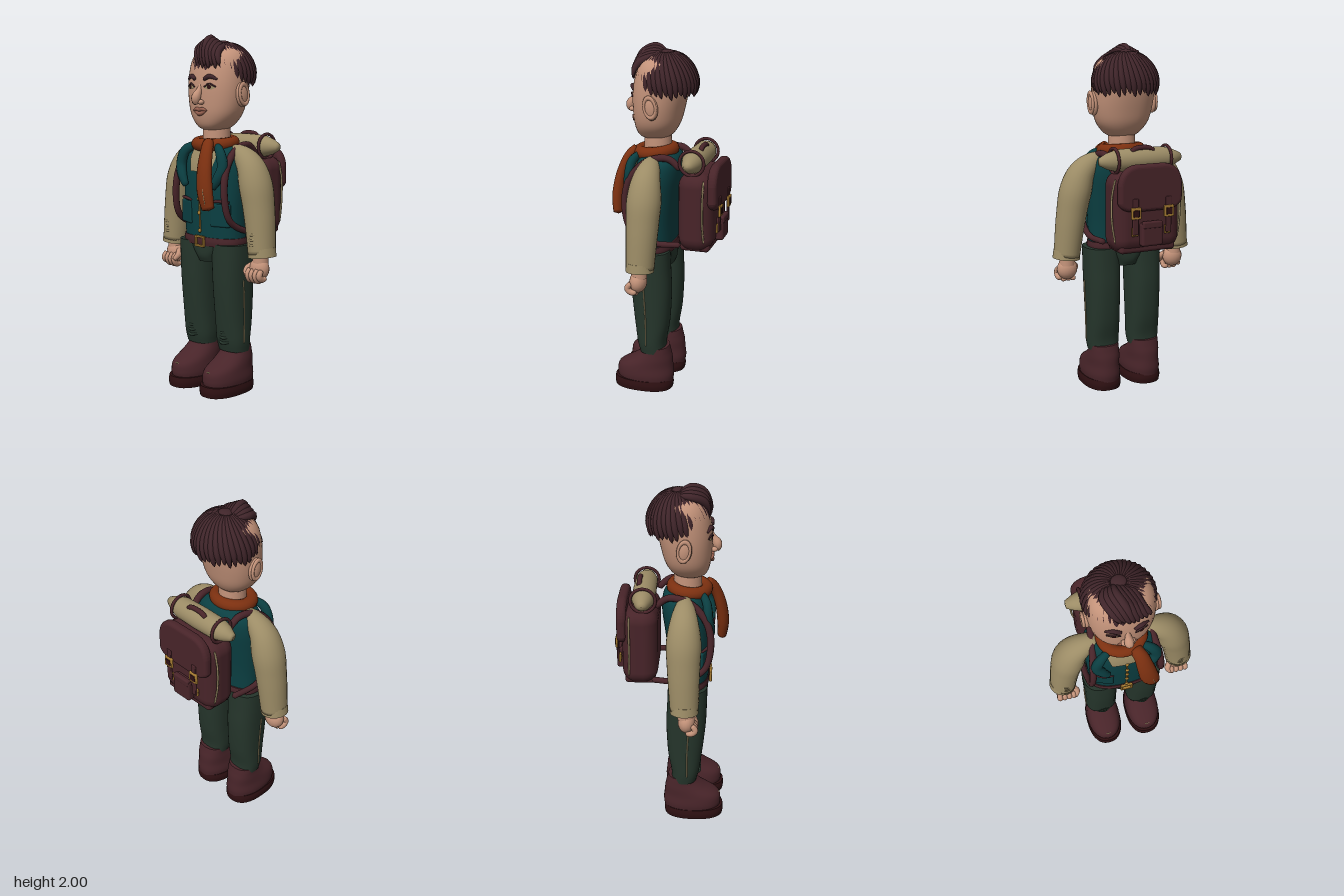
import * as THREE from 'three';
import { mergeVertices } from 'three/addons/utils/BufferGeometryUtils.js';
import { RoundedBoxGeometry } from 'three/addons/geometries/RoundedBoxGeometry.js';

const mat = (name, color) => Object.assign(new THREE.MeshStandardMaterial({ color, side: THREE.DoubleSide }), { name });
const V = (p) => new THREE.Vector3(...p);

// Catmull-Rom value at t (0..1) of a list of numbers
function smooth(a, t) {
  const f = t * (a.length - 1), i = Math.min(Math.floor(f), a.length - 2), u = f - i;
  const b = a[i], c = a[i + 1], p = a[i - 1] ?? 2 * b - c, q = a[i + 2] ?? 2 * c - b;
  return b + 0.5 * u * (c - p + u * (2 * p - 5 * b + 4 * c - q + u * (3 * (b - c) + q - p)));
}
// Rows are [y, centreX, centreZ, radiusX, radiusZ], from the bottom up
const dense = (rows) => Array.from({ length: 33 }, (_, i) => rows[0].map((_, k) => smooth(rows.map((r) => r[k]), i / 32)));

// Closed body through superellipse sections
function loft(rows, n = 2.2, seg = 36) {
  const pos = [], idx = [], rings = dense(rows);
  const ring = ([y, cx, cz, rx, rz]) => {
    for (let j = 0; j < seg; j++) {
      const a = (j / seg) * Math.PI * 2, c = Math.cos(a), s = Math.sin(a);
      pos.push(cx + rx * Math.sign(c) * Math.abs(c) ** (2 / n), y, cz + rz * Math.sign(s) * Math.abs(s) ** (2 / n));
    }
  };
  rings.forEach(ring);
  for (let i = 0; i < rings.length - 1; i++) for (let j = 0; j < seg; j++) {
    const a = i * seg + j, b = i * seg + ((j + 1) % seg);
    idx.push(a, a + seg, b, b, a + seg, b + seg);
  }
  for (const [r, top] of [[rings[0], false], [rings.at(-1), true]]) {
    const base = pos.length / 3;
    ring(r);
    pos.push(r[1], r[0], r[2]);
    for (let j = 0; j < seg; j++) {
      const a = base + j, b = base + ((j + 1) % seg);
      idx.push(base + seg, top ? b : a, top ? a : b);
    }
  }
  const g = new THREE.BufferGeometry();
  g.setAttribute('position', new THREE.Float32BufferAttribute(pos, 3));
  g.setIndex(idx);
  g.computeVertexNormals();
  return g;
}

// Tube along points with varying radius, squashed by sc, with closed ends
function sweep(pts, radii, sc = [1, 1, 1], n = 24, seg = 10) {
  const curve = new THREE.CatmullRomCurve3(pts.map(V)), g = new THREE.TubeGeometry(curve, n, 1, seg);
  const p = g.attributes.position, v = new THREE.Vector3(), k = V(sc);
  for (let i = 0; i <= n; i++) {
    const end = i === 0 || i === n, c = curve.getPointAt(i / n);
    const to = i === 0 ? curve.getPointAt(0.3 / n) : i === n ? curve.getPointAt(1 - 0.3 / n) : c;
    for (let j = 0; j <= seg; j++) {
      const q = i * (seg + 1) + j;
      v.fromBufferAttribute(p, q).sub(c).multiply(k).multiplyScalar(end ? 0 : smooth(radii, i / n)).add(to);
      p.setXYZ(q, v.x, v.y, v.z);
    }
  }
  g.deleteAttribute('uv');
  g.deleteAttribute('normal');
  const m = mergeVertices(g, 1e-5);
  m.computeVertexNormals();
  return m;
}

// Front surface depth of a lofted body
function frontZ(rows, x, y, n = 2.2) {
  const d = dense(rows);
  let i = d.findIndex((r) => r[0] >= y);
  i = Math.max(1, i < 0 ? d.length - 1 : i);
  const t = (y - d[i - 1][0]) / (d[i][0] - d[i - 1][0]);
  const [, , cz, rx, rz] = d[i].map((b, k) => d[i - 1][k] + (b - d[i - 1][k]) * t);
  return cz + rz * Math.max(0, 1 - Math.abs(x / rx) ** n) ** (1 / n);
}
// Lay a flat shape onto the front of a body
function drape(g, rows, lift = 0.004) {
  const p = g.attributes.position;
  for (let i = 0; i < p.count; i++) p.setZ(i, frontZ(rows, p.getX(i), p.getY(i)) + lift);
  g.computeVertexNormals();
  return g;
}

export function createModel() {
  const skin = mat('skin', 0xc4937a), hair = mat('hair', 0x40252a), leather = mat('leather', 0x482429), sole = mat('sole', 0x2e1012);
  const teal = mat('vest teal', 0x0b3f42), green = mat('trouser green', 0x25352b), tan = mat('tan cloth', 0x9c8c66);
  const rust = mat('scarf rust', 0x7c3010), gold = mat('brass', 0xa87c32), lip = mat('lips', 0x96604f);
  const model = new THREE.Group();
  const add = (name, g, m, at = [0, 0, 0], rot = [0, 0, 0], sc = [1, 1, 1]) => {
    const o = new THREE.Mesh(g, m);
    o.name = name;
    o.position.set(...at); o.rotation.set(...rot); o.scale.set(...sc);
    model.add(o);
    return o;
  };
  const box = (w, h, d, r = 0.01) => new RoundedBoxGeometry(w, h, d, 3, r);
  const ball = new THREE.SphereGeometry(1, 20, 14);

  // Head and neck
  const headRows = [[1.475, 0, 0.095, 0.05, 0.05], [1.5, 0, 0.09, 0.098, 0.095], [1.56, 0, 0.08, 0.148, 0.125], [1.64, 0, 0.072, 0.172, 0.14],
    [1.74, 0, 0.062, 0.181, 0.15], [1.84, 0, 0.05, 0.175, 0.145], [1.9, 0, 0.045, 0.15, 0.12], [1.94, 0, 0.04, 0.1, 0.08]];
  add('head', loft(headRows), skin);
  add('neck', new THREE.CylinderGeometry(0.076, 0.08, 0.16, 28), skin, [0, 1.44, 0.08]);

  // Face
  const onFace = (pts, lift) => pts.map(([x, y]) => [x, y, frontZ(headRows, x, y) + lift]);
  add('nose', sweep([[0, 1.74, 0.195], [0, 1.7, 0.215], [0, 1.655, 0.24], [0, 1.625, 0.228]], [0.012, 0.016, 0.026, 0.02]), skin);
  add('upperLip', sweep(onFace([[-0.055, 1.588], [-0.02, 1.597], [0, 1.593], [0.02, 1.597], [0.055, 1.588]], 0.004), [0.003, 0.01, 0.01, 0.01, 0.003]), lip);
  add('lowerLip', sweep(onFace([[-0.045, 1.585], [0, 1.572], [0.045, 1.585]], 0.004), [0.004, 0.013, 0.004]), lip);
  for (const s of [-1, 1]) {
    add('nostril', ball, skin, [s * 0.022, 1.635, 0.222], [0, 0, 0], [0.017, 0.014, 0.02]);
    add('eye', drape(new THREE.CircleGeometry(1, 24).scale(0.034, 0.014, 1).translate(s * 0.073, 1.718, 0), headRows), tan);
    add('iris', drape(new THREE.CircleGeometry(0.012, 20).translate(s * 0.073, 1.718, 0), headRows, 0.007), sole);
    add('eyelid', sweep(onFace([[s * 0.036, 1.716], [s * 0.07, 1.735], [s * 0.11, 1.718]], 0.004), [0.004, 0.005, 0.004]), hair);
    add('eyebrow', sweep(onFace([[s * 0.032, 1.757], [s * 0.07, 1.775], [s * 0.115, 1.758]], 0.004), [0.009, 0.013, 0.005]), hair);
    add('ear', ball, skin, [s * 0.182, 1.675, 0.065], [0.15, 0, 0], [0.024, 0.068, 0.042]);
    add('earRim', new THREE.TorusGeometry(0.036, 0.009, 8, 24), skin, [s * 0.198, 1.68, 0.065], [0.15, Math.PI / 2, 0], [0.9, 1.5, 1]);
  }

  // Hair: cap, radiating locks and a swept quiff
  add('hairCap', new THREE.SphereGeometry(1, 36, 16, 0, Math.PI * 2, 0, 1.3), hair, [0, 1.76, 0.03], [-0.12, 0, 0], [0.182, 0.2, 0.168]);
  const locks = 38;
  for (let i = 0; i < locks; i++) {
    const a = (i / locks) * Math.PI * 2, front = Math.max(0, Math.sin(a));
    const reach = 1.72 - 0.34 * front + (i % 3) * 0.05;
    const pts = [0.1, 0.35, 0.6, 0.82, 1].map((t) => {
      const f = t * reach, b = a + 0.4 * (1 - t);
      return [0.18 * Math.sin(f) * Math.cos(b), 1.76 + 0.203 * Math.cos(f), 0.03 + 0.167 * Math.sin(f) * Math.sin(b)];
    });
    add('hairLock', sweep(pts, [0.008, 0.014, 0.019, 0.019, 0.005], [1, 1, 1], 14, 7), hair);
  }
  add('crown', ball, hair, [0, 1.955, 0.025], [0, 0, 0], [0.04, 0.016, 0.035]);
  for (let i = 0; i < 8; i++) {
    const x = -0.115 + i * 0.022, h = 0.012 * Math.abs(i - 3);
    add('quiffLock', sweep([[x * 0.6, 1.94, 0.03], [x + 0.02, 1.982 - h, 0.09], [x + 0.05, 1.95 - h, 0.16], [x + 0.075, 1.865, 0.2 - h * 0.4], [x + 0.085, 1.81 + (i % 2) * 0.015, 0.205 - h * 0.5]],
      [0.012, 0.02, 0.023, 0.018, 0.004], [1, 1, 1], 16, 8), hair);
  }

  // Vest, shirt front and fastenings
  const vestRows = [[0.86, 0, 0.09, 0.2, 0.112], [1.0, 0, 0.09, 0.202, 0.118], [1.15, 0, 0.083, 0.21, 0.128], [1.28, 0, 0.07, 0.212, 0.132],
    [1.36, 0, 0.06, 0.19, 0.118], [1.4, 0, 0.065, 0.13, 0.095], [1.42, 0, 0.07, 0.08, 0.07]];
  add('vest', loft(vestRows, 2.4), teal);
  const shirt = new THREE.PlaneGeometry(1, 0.15, 12, 10).translate(0, 1.325, 0), sp = shirt.attributes.position;
  for (let i = 0; i < sp.count; i++) sp.setX(i, sp.getX(i) * (0.2 - Math.abs(sp.getY(i) - 1.33) * 0.5));
  add('shirtFront', drape(shirt, vestRows, 0.009), tan);
  const vz = (x, y) => frontZ(vestRows, x, y);
  add('zip', sweep([0.9, 1.02, 1.15, 1.27].map((y) => [0, y, vz(0, y) + 0.006]), [0.005, 0.005, 0.005]), gold);
  for (const y of [0.92, 1.02, 1.1, 1.17, 1.25]) add('zipStud', ball, gold, [0, y, vz(0, y) + 0.01], [0, 0, 0], [0.011, 0.011, 0.008]);
  for (const s of [-1, 1]) {
    add('lapel', sweep([[s * 0.08, 1.4, 0.16], [s * 0.14, 1.36, 0.19], [s * 0.165, 1.28, 0.2], [s * 0.135, 1.21, 0.215], [s * 0.1, 1.16, 0.22]],
      [0.02, 0.03, 0.033, 0.03, 0.018], [1, 1, 0.8]), teal);
    add('vestPocket', box(0.12, 0.13, 0.03), teal, [s * 0.13, 1.015, 0.178], [0, s * 0.32, 0]);
    add('pocketTrim', sweep([[s * 0.07, 1.085, 0.205], [s * 0.13, 1.095, 0.2], [s * 0.19, 1.09, 0.165]], [0.006, 0.009, 0.006]), leather);
  }

  // Belt and buckle
  add('belt', loft([[0.835, 0, 0.088, 0.205, 0.118], [0.86, 0, 0.088, 0.208, 0.121], [0.885, 0, 0.088, 0.205, 0.118]], 2.5), leather);
  for (const s of [-1, 1]) {
    add('buckleSide', box(0.012, 0.06, 0.016, 0.004), gold, [s * 0.03, 0.86, 0.216]);
    add('buckleBar', box(0.072, 0.012, 0.016, 0.004), gold, [0, 0.86 + s * 0.026, 0.216]);
  }

  // Scarf
  add('scarfLoop', new THREE.TorusGeometry(0.1, 0.036, 14, 36), rust, [0, 1.405, 0.09], [Math.PI / 2 + 0.08, 0, 0], [1.05, 0.95, 1]);
  add('scarfTail', sweep([[0.04, 1.42, 0.18], [0.07, 1.375, 0.225], [0.09, 1.28, 0.262], [0.11, 1.16, 0.28], [0.135, 1.045, 0.275]],
    [0.035, 0.043, 0.05, 0.052, 0.04], [1, 1, 0.65], 28, 16), rust);
  add('scarfFringe', sweep([[0.1, 1.26, 0.297], [0.125, 1.16, 0.31], [0.14, 1.08, 0.305]], [0.002, 0.003, 0.002]), tan);

  // Trousers
  add('hips', loft([[0.74, 0, 0.085, 0.08, 0.1], [0.78, 0, 0.086, 0.1, 0.114], [0.85, 0, 0.087, 0.19, 0.114]], 2.5), green);
  for (const s of [-1, 1]) {
    const x = s * 0.13;
    add('trouserLeg', loft([[0.235, x, 0.07, 0.09, 0.075], [0.3, x, 0.078, 0.097, 0.082], [0.42, x, 0.076, 0.097, 0.1], [0.6, x, 0.08, 0.1, 0.114],
      [0.74, x, 0.085, 0.103, 0.114], [0.85, x, 0.087, 0.104, 0.112]], 2.4), green);
    add('sideSeam', sweep([[s * 0.227, 0.28, 0.09], [s * 0.23, 0.45, 0.09], [s * 0.233, 0.66, 0.1]], [0.004, 0.004, 0.004]), tan);
    for (let i = 0; i < 3; i++)
      add('trouserFold', sweep([[x - 0.08, 0.3 + i * 0.03, 0.125], [x, 0.285 + i * 0.03, 0.163], [x + 0.08, 0.31 + i * 0.03, 0.125]], [0.003, 0.008, 0.003]), green);

    // Boots
    add('boot', loft([[0.05, x, 0.12, 0.102, 0.165], [0.09, x, 0.12, 0.106, 0.17], [0.14, x, 0.115, 0.1, 0.16], [0.19, x, 0.075, 0.094, 0.115],
      [0.23, x, 0.055, 0.088, 0.085], [0.265, x, 0.058, 0.086, 0.08]], 2.2), leather);
    add('bootSole', loft([[0, x, 0.13, 0.106, 0.172], [0.03, x, 0.13, 0.11, 0.176], [0.06, x, 0.13, 0.106, 0.172]], 2.4), sole);
    add('bootStitch', sweep([[x - 0.055, 0.12, 0.252], [x, 0.137, 0.275], [x + 0.055, 0.12, 0.252]], [0.003, 0.004, 0.003]), tan);

    // Sleeves
    add('sleeve', sweep([[s * 0.11, 1.375, 0.07], [s * 0.19, 1.345, 0.07], [s * 0.255, 1.285, 0.07], [s * 0.295, 1.18, 0.07], [s * 0.325, 1.02, 0.072], [s * 0.35, 0.8, 0.078]],
      [0.03, 0.068, 0.09, 0.086, 0.08, 0.074], [1, 1, 1.06], 36, 24), tan);
    add('cuff', new THREE.CylinderGeometry(0.076, 0.079, 0.05, 28), tan, [s * 0.349, 0.825, 0.078], [0, 0, s * 0.1]);
    for (let i = 0; i < 3; i++)
      add('sleeveFold', sweep([[s * 0.305, 0.88 + i * 0.028, 0.14], [s * 0.34, 0.872 + i * 0.028, 0.155], [s * 0.385, 0.885 + i * 0.028, 0.135]], [0.003, 0.007, 0.003]), tan);

    // Fists
    add('wrist', new THREE.CylinderGeometry(0.042, 0.045, 0.06, 20), skin, [s * 0.345, 0.79, 0.085]);
    add('palm', ball, skin, [s * 0.342, 0.735, 0.09], [0, 0, 0], [0.06, 0.062, 0.048]);
    for (let i = 0; i < 4; i++) {
      const fx = s * (0.302 + i * 0.028), dy = i === 3 ? 0.012 : 0;
      add('finger', sweep([[fx, 0.74, 0.12], [fx, 0.705, 0.14], [fx, 0.672 + dy, 0.12], [fx, 0.675 + dy, 0.085]], [0.013, 0.017, 0.017, 0.013], [1, 1, 1], 14), skin);
    }
    add('thumb', sweep([[s * 0.3, 0.76, 0.1], [s * 0.28, 0.73, 0.125], [s * 0.295, 0.7, 0.148]], [0.014, 0.018, 0.012]), skin);

    // Pack harness and side cords
    add('shoulderStrap', sweep([[s * 0.14, 1.33, -0.1], [s * 0.15, 1.395, -0.02], [s * 0.165, 1.37, 0.1], [s * 0.185, 1.27, 0.19], [s * 0.195, 1.13, 0.215],
      [s * 0.205, 0.99, 0.18], [s * 0.217, 0.925, 0.06], [s * 0.2, 0.92, -0.12]], [0.018, 0.02, 0.02, 0.02, 0.018, 0.017, 0.017], [1, 1, 1], 48), leather);
    add('sideCord', sweep([[s * 0.185, 1.3, -0.235], [s * 0.208, 1.2, -0.235], [s * 0.208, 1.05, -0.235], [s * 0.19, 0.93, -0.24]], [0.005, 0.006, 0.005]), tan);
    add('rollStrap', new THREE.TorusGeometry(0.069, 0.009, 8, 32), leather, [s * 0.16, 1.38, -0.16], [0, Math.PI / 2, 0]);

    // Flap fastenings
    add('flapStrap', box(0.035, 0.2, 0.012, 0.005), leather, [s * 0.1, 1.09, -0.307]);
    add('flapBuckle', box(0.06, 0.065, 0.014, 0.005), gold, [s * 0.1, 1.11, -0.312]);
    add('buckleInset', box(0.036, 0.038, 0.008, 0.003), sole, [s * 0.1, 1.11, -0.318]);
    add('strapTip', box(0.04, 0.05, 0.012, 0.005), gold, [s * 0.1, 1.005, -0.296]);
  }

  // Backpack and bedroll
  add('backpack', box(0.41, 0.45, 0.2, 0.08), leather, [0, 1.1, -0.18]);
  const flap = new THREE.Shape();
  flap.moveTo(-0.17, 1.17).quadraticCurveTo(-0.16, 1.14, -0.1, 1.135).lineTo(0.1, 1.135).quadraticCurveTo(0.16, 1.14, 0.17, 1.17);
  flap.lineTo(0.17, 1.26).quadraticCurveTo(0.16, 1.345, 0.08, 1.35).lineTo(-0.08, 1.35).quadraticCurveTo(-0.16, 1.345, -0.17, 1.26);
  add('packFlap', new THREE.ExtrudeGeometry(flap, { depth: 0.01, bevelSize: 0.022, bevelThickness: 0.022, bevelSegments: 5, curveSegments: 10 }), leather, [0, 0, -0.285]);
  add('packPocket', box(0.13, 0.13, 0.05, 0.015), leather, [0, 0.985, -0.295]);
  add('pocketFlap', box(0.12, 0.04, 0.03, 0.01), leather, [0, 1.04, -0.308]);
  add('packBase', box(0.34, 0.05, 0.17, 0.02), leather, [0, 0.9, -0.18]);
  const roll = [[0, -0.25], [0.022, -0.247], [0.045, -0.2], [0.062, -0.14], [0.065, 0], [0.062, 0.14], [0.045, 0.2], [0.022, 0.247], [0, 0.25]];
  add('bedroll', new THREE.LatheGeometry(roll.map((p) => new THREE.Vector2(...p)), 32), tan, [0, 1.38, -0.16], [0, 0, Math.PI / 2]);
  add('carryHandle', sweep([[-0.07, 1.425, -0.185], [-0.04, 1.445, -0.187], [0.04, 1.445, -0.187], [0.07, 1.425, -0.185]], [0.014, 0.014, 0.014]), leather);
  return model;
}
